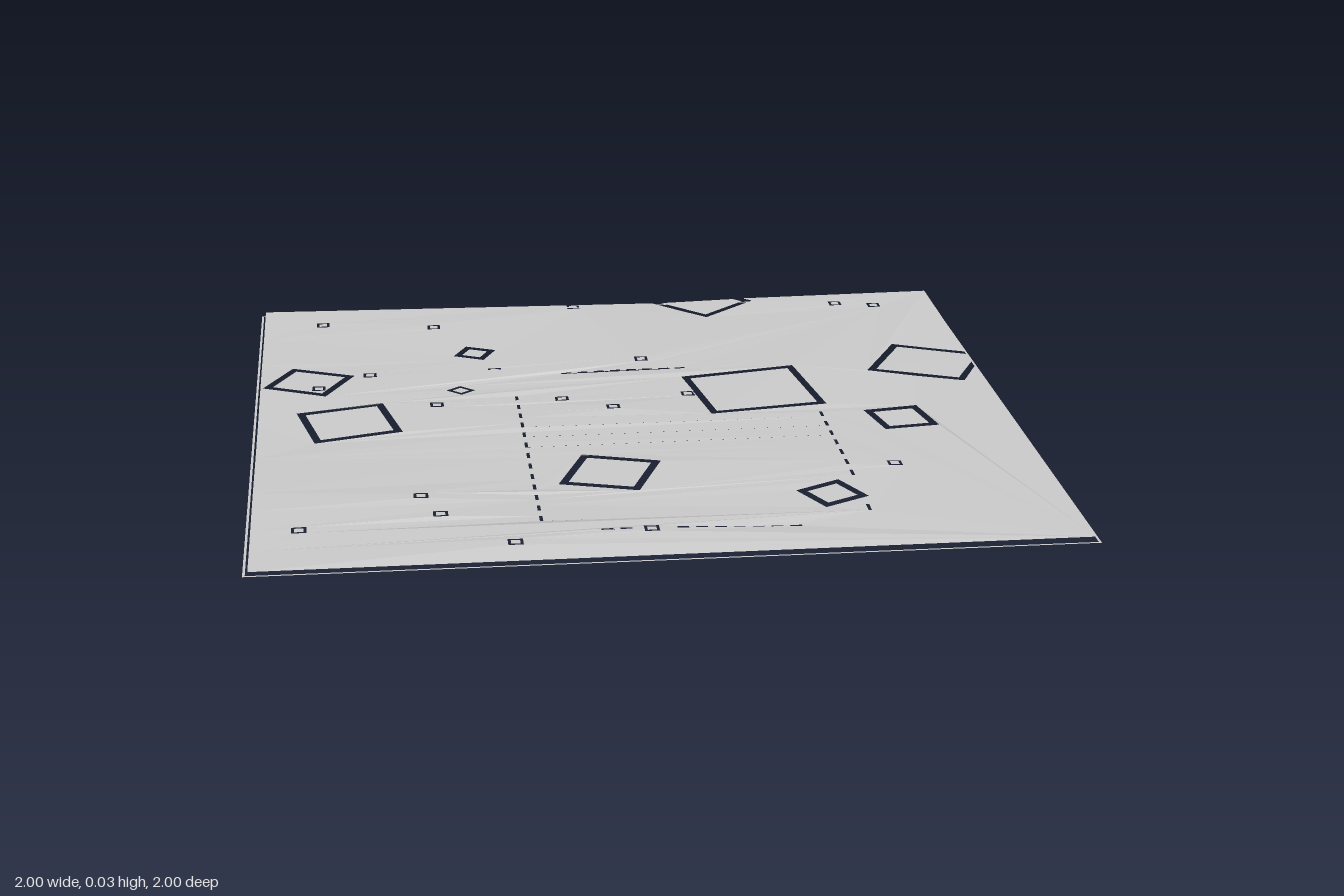
import * as THREE from 'three';
import { mergeGeometries } from 'three/addons/utils/BufferGeometryUtils.js';

const EDGE = 0.988;
const material = new THREE.MeshStandardMaterial({ color: 0xcccccc, flatShading: true, side: THREE.DoubleSide });

// gentle ground relief
const relief = (x, z) =>
  0.014 + 0.004 * Math.sin(3.1 * x + 1.7 * z + 0.6) + 0.003 * Math.sin(7.3 * z - 4.1 * x) + 0.002 * Math.sin(11 * x + 2);

// corners of a rectangle turned in plan, as [x, z]
function rect(x, z, w, d = w, degrees = 0) {
  const a = THREE.MathUtils.degToRad(degrees), c = Math.cos(a), s = Math.sin(a);
  return [[-1, -1], [1, -1], [1, 1], [-1, 1]].map(([i, j]) => {
    const u = i * w / 2, v = j * d / 2;
    return [x + u * c - v * s, z + u * s + v * c];
  });
}

const toPoints = (corners) => corners.map(([x, z]) => new THREE.Vector2(x, -z));

// flat outline with holes, laid down and draped over the relief
function drape(outline, holes = [], height = relief) {
  const shape = new THREE.Shape(toPoints(outline));
  holes.forEach((hole) => shape.holes.push(new THREE.Path(toPoints(hole))));
  const geometry = new THREE.ShapeGeometry(shape).rotateX(-Math.PI / 2);
  const p = geometry.attributes.position;
  for (let i = 0; i < p.count; i++) p.setY(i, height(p.getX(i), p.getZ(i)));
  geometry.computeVertexNormals();
  return geometry;
}

// insert points along the long edges of an outline
function subdivide(corners, step = 0.12) {
  return corners.flatMap(([x, z], i) => {
    const [x2, z2] = corners[(i + 1) % corners.length];
    const n = Math.max(1, Math.round(Math.hypot(x2 - x, z2 - z) / step));
    return Array.from({ length: n }, (_, k) => [x + (x2 - x) * k / n, z + (z2 - z) * k / n]);
  });
}

// square plots: x, z, side, turn in degrees
const plots = [
  [0.34, -0.14, 0.318, -7.7], [-0.106, 0.455, 0.207, 21], [-0.75, 0, 0.233, -12],
  [-0.857, -0.337, 0.187, 25], [-0.393, -0.564, 0.09, 25], [-0.447, -0.233, 0.055, 45],
  [0.698, 0.112, 0.152, -12], [0.42, 0.652, 0.127, -26],
];

// small square markers: x, z
const markers = [
  [-0.82, -0.853], [-0.5, -0.8], [-0.08, -0.965], [0.698, -0.9], [0.81, -0.874], [0.067, -0.44],
  [-0.345, -0.41], [-0.69, -0.382], [-0.516, -0.11], [-0.18, -0.13], [-0.05, -0.04], [0.162, -0.136],
  [0.612, 0.463], [-0.58, 0.565], [-0.537, 0.698], [-0.874, 0.75], [-0.37, 0.896], [-0.045, 0.847],
];
const plotMarker = [-0.83, -0.28];

function createModel() {
  const group = new THREE.Group();
  const add = (name, geometry) => {
    const mesh = new THREE.Mesh(geometry, material);
    mesh.name = name;
    group.add(mesh);
  };

  // dashed slots along the four sides of a rectangle
  const dashes = [];
  for (const z of [-0.35, 0.842])
    for (let k = 0; k < 11; k++) dashes.push([-0.15 + k * 0.045, z, 0.028, 0.008]);
  for (const x of [-0.3, 0.492])
    for (let k = 0; k < 13; k++) dashes.push([x, -0.15 + k * 0.075, 0.008, 0.036]);
  const clear = ([x, z]) =>
    plots.every(([px, pz, s]) => Math.hypot(x - px, z - pz) > s * 0.707 + 0.025) &&
    markers.every(([mx, mz]) => Math.hypot(x - mx, z - mz) > 0.042);

  // ground sheet, notched where two plots run over its border
  const border = [
    [-EDGE, -EDGE], [0.16, -EDGE], [0.303, -0.825], [0.457, -0.96], [0.433, -EDGE], [EDGE, -EDGE],
    [EDGE, -0.415], [0.794, -0.505], [0.677, -0.26], [0.928, -0.158], [EDGE, -0.29],
    [EDGE, EDGE], [-EDGE, EDGE],
  ];
  add('ground', drape(subdivide(border), [
    ...plots.map(([x, z, s, a]) => rect(x, z, s, s, a)),
    ...markers.map(([x, z]) => rect(x, z, 0.036)),
    ...dashes.filter(clear).map((d) => rect(...d)),
  ]));

  // loose panels inside the slots
  plots.forEach(([x, z, s, a], i) => {
    const inner = s - 2 * Math.min(0.02, s * 0.2);
    add('plotPanel', drape(rect(x, z, inner, inner, a), i === 3 ? [rect(...plotMarker, 0.036)] : []));
  });
  add('backBorderPanel', drape([[0.187, -EDGE], [0.304, -0.853], [0.427, -0.96], [0.403, -EDGE]]));
  add('leftBorderPanel', drape([[EDGE, -0.392], [0.804, -0.478], [0.704, -0.27], [0.918, -0.184], [EDGE, -0.33]]));

  // marker tiles
  add('markerTiles', mergeGeometries([...markers, plotMarker].map(([x, z]) => drape(rect(x, z, 0.022)))));
  add('raisedMarker', drape(rect(0.235, -0.28, 0.032), [], () => 0.031));

  // narrow rim lying flat around the sheet
  add('rim', drape(rect(0, 0, 2), [rect(0, 0, 1.988)], () => 0));

  return group;
}

export { createModel };
